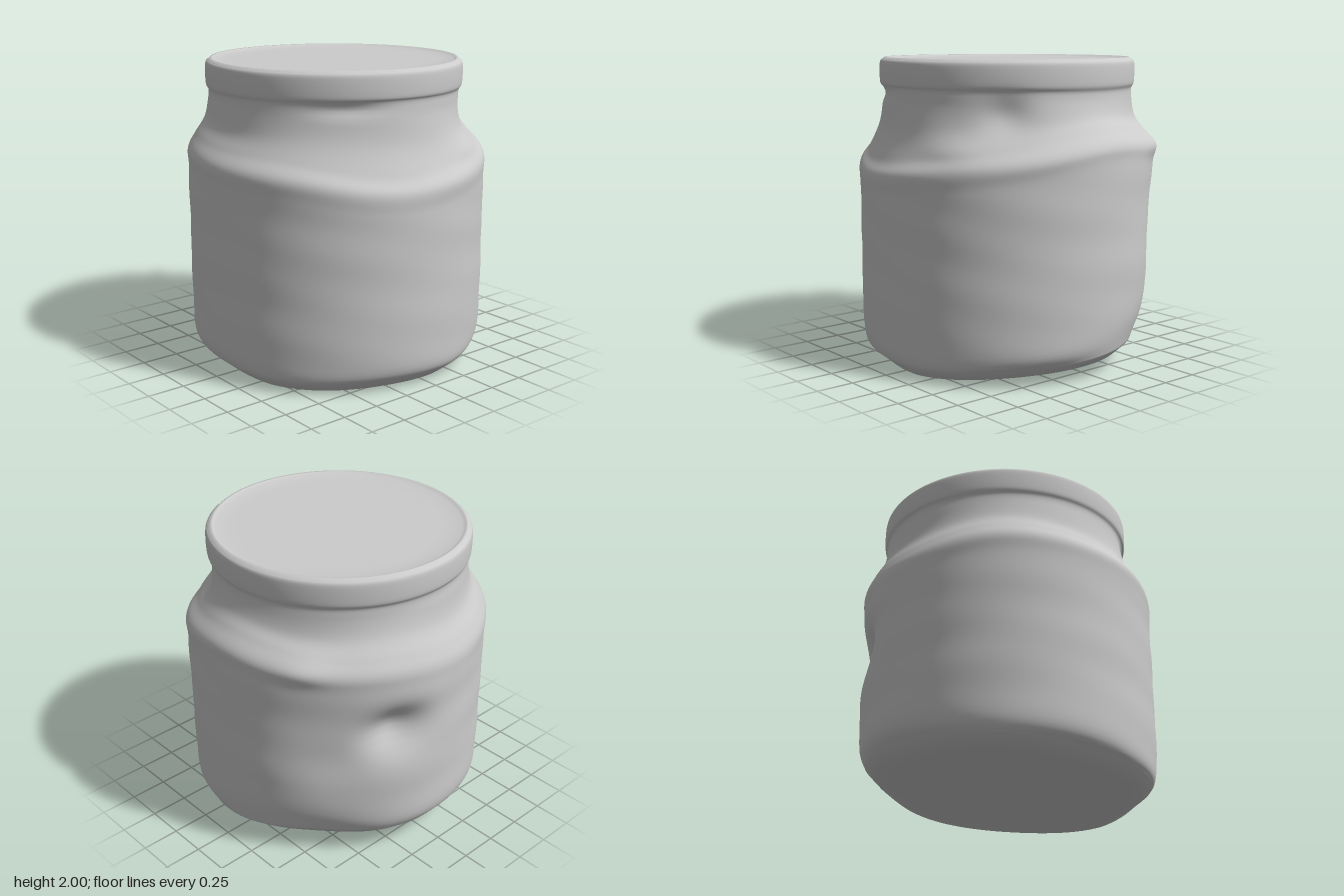
import * as THREE from 'three';

// Outline from base to rim: height, radius
const WALL = [
  [0.06, 0.925], [0.16, 0.975], [0.6, 0.983], [1.0, 0.983], [1.25, 0.985], [1.375, 0.985],
  [1.475, 0.92], [1.6, 0.855], [1.78, 0.828], [1.84, 0.846], [1.96, 0.846], [1.99, 0.828],
];
const SHOULDER = 5;

// Dents and bulges: angle from the front towards +x, height, depth, angular width, vertical width
const DENTS = [
  [160, 0.97, -0.12, 12, 0.15],
  [138, 0.75, -0.05, 18, 0.4],
  [-35, 1.76, -0.02, 16, 0.04],
  [50, 1.66, -0.04, 10, 0.11],
  [30, 1.44, 0.025, 14, 0.08],
  [125, 1.46, 0.03, 10, 0.08],
];

const bump = (x, centre, width) => Math.exp(-(((x - centre) / width) ** 2));

function dentAt(deg, y) {
  let sum = 0;
  for (const [angle, height, depth, wide, tall] of DENTS) {
    const turn = ((deg - angle + 540) % 360) - 180;
    sum += depth * bump(turn, 0, wide) * bump(y, height, tall);
  }
  return sum;
}

// Sagging, slightly tilted underside
const floorY = (x, z) => Math.max(0, 0.055 + 0.04 * x - 0.07 * z);

// Point on the outline ring i at the given angle: [height, radius]
function wallPoint(i, deg) {
  const a = THREE.MathUtils.degToRad(deg), s = Math.sin(a), c = Math.cos(a), c2 = Math.cos(2 * a);
  let [y, r] = WALL[i];
  if (i < 2) {
    // The foot follows the underside and is chamfered on the +x side
    y += floorY(0.9 * s, 0.9 * c) + 0.09 * i * bump(deg, 112, 30);
    r -= 0.04 * bump(deg, 130, 25) - 0.012 * (1 - i) * Math.sin(5 * a);
  } else if (i >= SHOULDER - 1 && i <= SHOULDER + 2) {
    // The shoulder rises and falls around the jar
    const lift = -0.045 * c + 0.025 * s - 0.055 * c2;
    y += lift * (i === SHOULDER + 2 ? 0.5 : 1) + 0.012 * Math.sin(5 * a);
  }
  // Slightly narrow body front to back, neck a little off centre
  r += i <= SHOULDER ? -0.01 * c2 : -0.01 * s - 0.014 * c;
  return [y, r];
}

// Smooth curve through the outline rings at one angle
function wallCurve(deg) {
  const points = WALL.map((_, i) => new THREE.Vector2(...wallPoint(i, deg)));
  return new THREE.SplineCurve(points);
}

function createBody() {
  const COLUMNS = 160, FLOOR = 8, RISE = 84;
  const rows = FLOOR + RISE + 1;
  const positions = [], index = [];
  for (let j = 0; j < COLUMNS; j++) {
    const deg = (j * 360) / COLUMNS, a = THREE.MathUtils.degToRad(deg);
    const s = Math.sin(a), c = Math.cos(a);
    const curve = wallCurve(deg);
    const foot = wallPoint(0, deg)[1] - 0.07;
    for (let i = 0; i < rows; i++) {
      let y, r;
      if (i < FLOOR) {
        r = Math.max(0.001, (foot * i) / (FLOOR - 1));
        y = floorY(r * s, r * c);
      } else {
        const p = curve.getPoint((i - FLOOR) / RISE);
        y = p.x;
        const ripple = y < 1.75 ? 0.003 * Math.sin(y * 17 + 2 * s) * Math.sin(3 * a + y * 4) : 0;
        r = p.y + dentAt(deg, y) + ripple;
      }
      positions.push(r * s, y, r * c);
    }
  }
  for (let j = 0; j < COLUMNS; j++) {
    const here = j * rows, next = ((j + 1) % COLUMNS) * rows;
    for (let i = 0; i < rows - 1; i++) {
      index.push(here + i, next + i, next + i + 1, here + i, next + i + 1, here + i + 1);
    }
  }
  const geometry = new THREE.BufferGeometry();
  geometry.setAttribute('position', new THREE.Float32BufferAttribute(positions, 3));
  geometry.setIndex(index);
  geometry.computeVertexNormals();
  return geometry;
}

export function createModel() {
  const group = new THREE.Group();
  group.name = 'jar';
  const material = new THREE.MeshStandardMaterial({ color: 0xcccccc });

  // Underside, wall, shoulder and neck as one smooth skin
  const body = new THREE.Mesh(createBody(), material);
  body.name = 'jarBody';
  group.add(body);

  // Flat lid panel with a raised rim and a shallow inner ring
  const profile = [
    [0.836, 1.98], [0.815, 2], [0.8, 1.998], [0.78, 1.986],
    [0.71, 1.985], [0.68, 1.981], [0.64, 1.983], [0, 1.983],
  ].map(([r, y]) => new THREE.Vector2(r, y));
  const lid = new THREE.Mesh(new THREE.LatheGeometry(profile, 96), material);
  lid.name = 'lidPanel';
  lid.position.set(-0.01, 0, -0.014);
  group.add(lid);

  return group;
}
